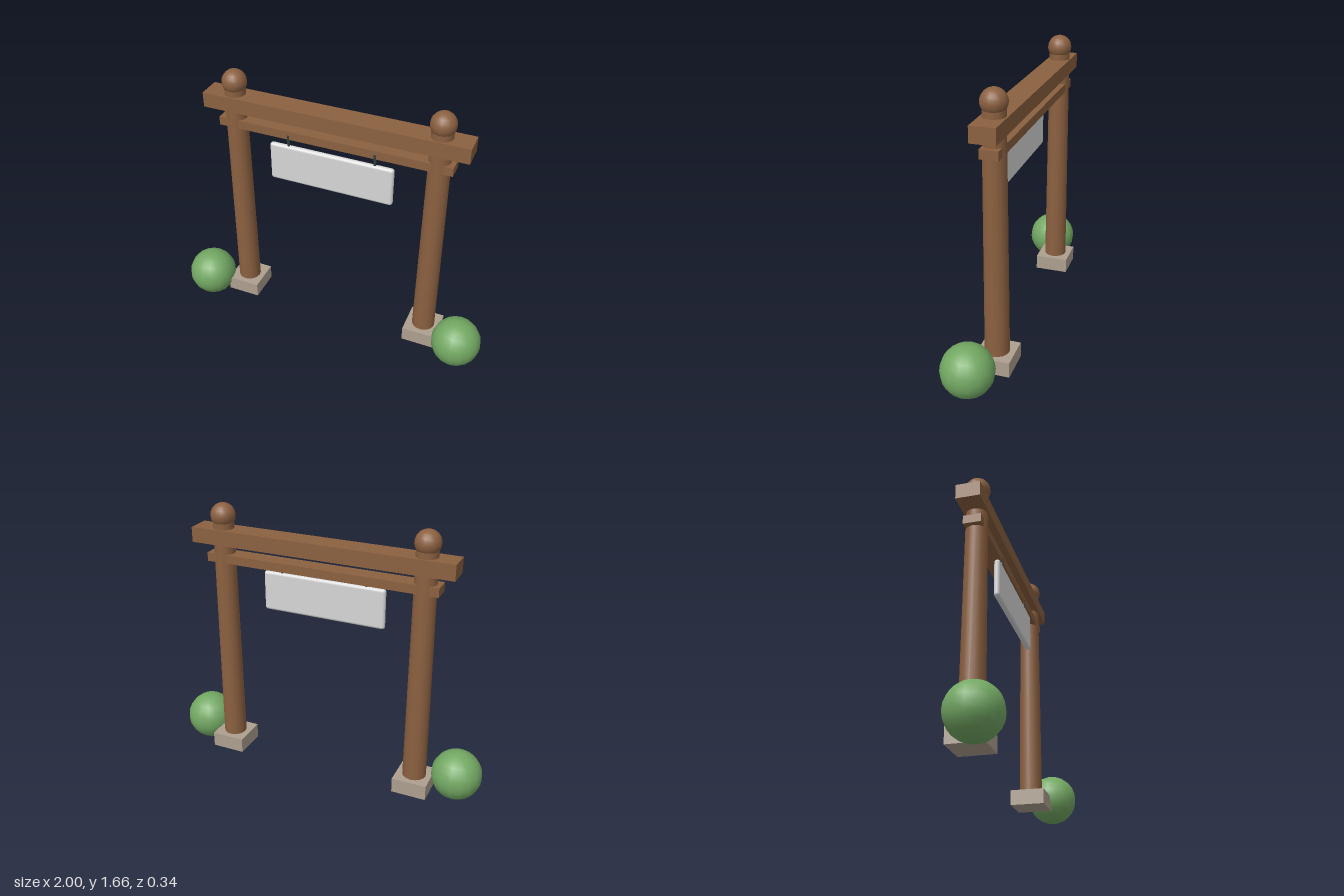
import * as THREE from 'three';
import { RoundedBoxGeometry } from 'three/addons/geometries/RoundedBoxGeometry.js';

const paint = (name, color) => {
  const m = new THREE.MeshStandardMaterial({ color });
  m.name = name;
  return m;
};

export function createModel() {
  const wood = paint('brown wood', 0x8b6040);
  const stone = paint('grey stone', 0xad9f8f);
  const leaf = paint('green leaf', 0x73a863);
  const board = paint('pale grey board', 0xd6d6d6);
  const iron = paint('dark iron', 0x33403c);

  const group = new THREE.Group();
  group.name = 'hangingSignGate';
  const add = (name, geometry, material, x, y, z) => {
    const mesh = new THREE.Mesh(geometry, material);
    mesh.name = name;
    mesh.position.set(x, y, z);
    group.add(mesh);
  };
  const Z = -0.067; // depth of the frame's centre line

  // Mirrored posts, footings, finials, bushes and sign hangers
  for (const [side, s] of [['left', 1], ['right', -1]]) {
    add(side + 'Footing', new THREE.BoxGeometry(0.208, 0.093, 0.208), stone, s * 0.613, 0.098, Z);
    add(side + 'Post', new THREE.CylinderGeometry(0.062, 0.071, 1.43, 16), wood, s * 0.613, 0.83, Z);
    add(side + 'Finial', new THREE.SphereGeometry(0.073, 16, 12), wood, s * 0.613, 1.584, Z);
    add(side + 'Bush', new THREE.SphereGeometry(0.152, 16, 12), leaf, s * 0.848, 0.152, 0.02);
    add(side + 'Hanger', new THREE.CylinderGeometry(0.009, 0.009, 0.08, 8), iron, s * 0.262, 1.297, -0.02);
  }

  // Cross beams
  add('topBeam', new THREE.BoxGeometry(1.575, 0.09, 0.14), wood, 0, 1.465, Z);
  add('lowerBeam', new THREE.BoxGeometry(1.405, 0.052, 0.105), wood, 0, 1.336, Z);

  // Hanging sign board with softened edges
  add('signBoard', new RoundedBoxGeometry(0.755, 0.243, 0.036, 3, 0.0178), board, 0, 1.148, -0.02);

  return group;
}
